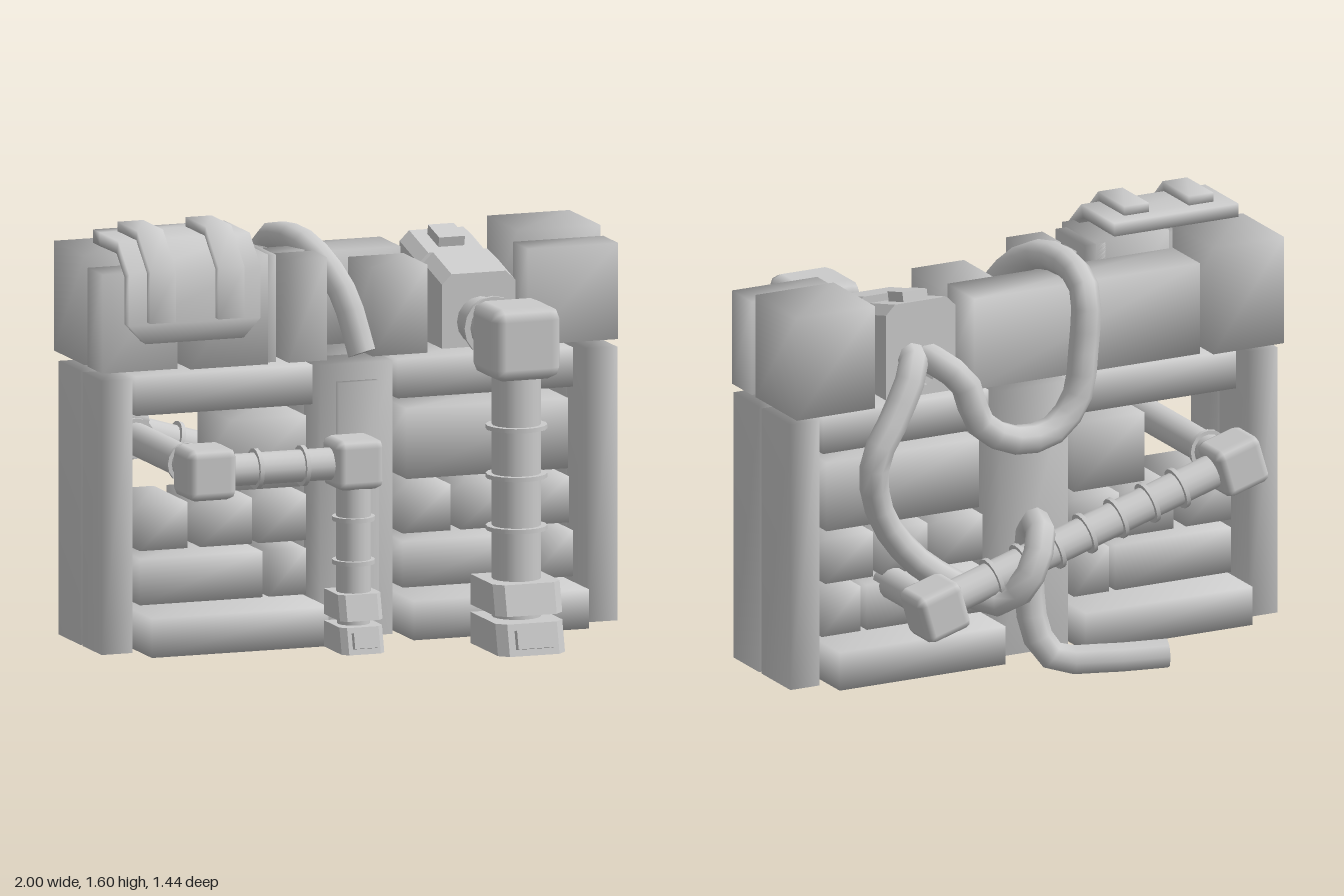
import * as THREE from 'three';
import { RoundedBoxGeometry } from 'three/addons/geometries/RoundedBoxGeometry.js';
import { mergeVertices } from 'three/addons/utils/BufferGeometryUtils.js';

const grey = new THREE.MeshStandardMaterial({ color: 0xcccccc });
const V = (a) => new THREE.Vector3(...a);

export function createModel() {
  const root = new THREE.Group();

  const add = (name, geometry, parent = root) => {
    const mesh = new THREE.Mesh(geometry, grey);
    mesh.name = name;
    parent.add(mesh);
    return mesh;
  };

  // soft box given by its extents; normals are shared across its edges
  const box = (name, x0, x1, y0, y1, z0, z1) => {
    let g = new THREE.BoxGeometry(x1 - x0, y1 - y0, z1 - z0);
    g.deleteAttribute('normal');
    g.deleteAttribute('uv');
    g = mergeVertices(g);
    g.computeVertexNormals();
    add(name, g).position.set((x0 + x1) / 2, (y0 + y1) / 2, (z0 + z1) / 2);
  };

  // straight pipe with thin collars at the given fractions of its length
  const pipe = (name, from, to, r, collars = []) => {
    const a = V(from), b = V(to), dir = b.clone().sub(a), len = dir.length();
    const g = new THREE.Group();
    g.name = name;
    g.position.copy(a);
    g.quaternion.setFromUnitVectors(V([0, 1, 0]), dir.normalize());
    add('pipeRun', new THREE.CylinderGeometry(r, r, len, 16), g).position.y = len / 2;
    for (const t of collars) {
      add('collar', new THREE.CylinderGeometry(r * 1.25, r * 1.25, 0.016, 16), g).position.y = len * t;
    }
    root.add(g);
  };

  // chamfered corner block joining two pipes
  const elbow = (name, x, y, z, w, tilt = 0) => {
    const m = add(name, new RoundedBoxGeometry(w, w, w, 1, w * 0.17));
    m.position.set(x, y, z);
    m.rotation.z = tilt;
  };

  // two stacked blocks with cut front corners, leaning back at the front, open socket at the end
  const foot = (name, pos, w, back, front, h, r, plateWidth) => {
    const g = new THREE.Group();
    g.name = name;
    g.position.set(...pos);
    const cut = w * 0.13;
    const block = (y0, y1, f, hole) => {
      const s = new THREE.Shape([[-w / 2, -back], [w / 2, -back], [w / 2, f - cut], [w / 2 - cut, f],
        [cut - w / 2, f], [-w / 2, f - cut]].map(([x, z]) => new THREE.Vector2(x, -z)).reverse());
      if (hole) s.holes.push(new THREE.Path().absarc(0, 0, r * 0.75, 0, Math.PI * 2, true));
      const geo = new THREE.ExtrudeGeometry(s, { depth: y1 - y0, bevelEnabled: false, curveSegments: 8 });
      geo.rotateX(-Math.PI / 2).translate(0, y0, 0);
      const p = geo.attributes.position;
      for (let i = 0; i < p.count; i++) {
        if (p.getZ(i) > f - cut - 0.001) p.setZ(i, p.getZ(i) - 0.25 * (p.getY(i) - y0));
      }
      geo.computeVertexNormals();
      add(hole ? 'soleBlock' : 'ankleBlock', geo, g);
    };
    block(0, h * 0.45, front, true);
    block(h * 0.56, h, front * 0.85, false);
    add('neck', new THREE.CylinderGeometry(r, r, h * 0.15, 16), g).position.y = h * 0.5;
    const plate = add('frontPlate', new THREE.BoxGeometry(plateWidth, h * 0.27, 0.04), g);
    plate.position.set(0, h * 0.23, front - 0.008);
    plate.rotation.x = -0.24;
    root.add(g);
    return g;
  };

  const hose = (name, points) => {
    const curve = new THREE.CatmullRomCurve3(points.map(V), false, 'centripetal');
    const r = 0.055;
    add(name, new THREE.TubeGeometry(curve, points.length * 2, r, 8));
    for (const t of [0, 1]) {
      const cap = add(name + 'Cap', new THREE.CircleGeometry(r, 8));
      const out = curve.getTangent(t).multiplyScalar(t ? 1 : -1);
      cap.position.copy(curve.getPoint(t));
      cap.quaternion.setFromUnitVectors(V([0, 0, 1]), out);
    }
  };

  // rack frame: front and back posts at both ends and in the middle
  for (const [x0, x1, zFront] of [[-1, -0.88, 0.145], [-0.14, 0.14, 0.115], [0.88, 1, 0.145]]) {
    box('frontPost', x0, x1, 0.045, 1.055, -0.055, zFront);
    box('backPost', x0, x1, 0.045, 1.055, -0.3, -0.075);
  }
  box('middlePostPanel', -0.08, 0.075, 0.11, 0.99, 0.1, 0.145);
  for (const [x0, x1] of [[-0.85, -0.165], [0.165, 0.845]]) {
    box('bottomShelf', x0, x1, 0.045, 0.19, -0.39, 0.265);
    box('topRail', x0, x1, 0.91, 1.055, -0.26, 0.1);
  }

  // cargo rows between the posts: [y0, y1, [x0, x1], ...]
  const rows = [
    [0.21, 0.38, [-0.835, -0.36], [-0.335, -0.19], [0.185, 0.66], [0.685, 0.845]],
    [0.41, 0.58, [-0.835, -0.65], [-0.6, -0.4], [-0.375, -0.19], [0.185, 0.37], [0.41, 0.6], [0.635, 0.83]],
    [0.61, 0.87, [-0.48, -0.19], [0.2, 0.825]],
  ];
  for (const [y0, y1, ...spans] of rows) {
    for (const [x0, x1] of spans) box('cargoBox', x0, x1, y0, y1, -0.25, 0.1);
  }

  // cargo on top: x0, x1, top, z0, z1
  for (const [x0, x1, y1, z0, z1] of [
    [-1, -0.71, 1.49, -0.35, -0.03], [-1, -0.71, 1.45, 0, 0.155],
    [-0.67, -0.37, 1.49, -0.08, 0.185], [-0.67, 0.255, 1.43, -0.32, -0.11],
    [-0.41, -0.325, 1.48, -0.08, 0.15],
    [-0.29, -0.14, 1.465, -0.08, 0.01], [-0.29, -0.14, 1.465, 0.04, 0.185],
    [0.04, 0.255, 1.41, -0.08, 0.17],
    [0.68, 1, 1.475, -0.35, -0.03], [0.65, 1, 1.44, 0, 0.155],
  ]) box('topCargo', x0, x1, 1.085, y1, z0, z1);

  // draped sheet: stations of [y, z, half width], thickened inward
  const drape = (name, xc, stations, thick) => {
    const pos = [], idx = [], n = stations.length;
    stations.forEach(([y, z, hw], i) => {
      const a = stations[Math.max(i - 1, 0)], b = stations[Math.min(i + 1, n - 1)];
      const ty = b[0] - a[0], tz = b[1] - a[1], l = Math.hypot(ty, tz);
      const iy = (tz / l) * thick, iz = (-ty / l) * thick;
      pos.push(xc - hw, y, z, xc + hw, y, z, xc + hw, y + iy, z + iz, xc - hw, y + iy, z + iz);
    });
    for (let i = 0; i < n - 1; i++) {
      for (let k = 0; k < 4; k++) {
        const a = i * 4 + k, b = i * 4 + ((k + 1) % 4);
        idx.push(a, b, b + 4, a, b + 4, a + 4);
      }
    }
    const e = (n - 1) * 4;
    idx.push(0, 2, 1, 0, 3, 2, e, e + 1, e + 2, e, e + 2, e + 3);
    const g = new THREE.BufferGeometry();
    g.setAttribute('position', new THREE.Float32BufferAttribute(pos, 3));
    g.setIndex(idx);
    g.computeVertexNormals();
    add(name, g);
  };
  drape('bedroll', -0.675, [[1.2, 0.24, 0.19], [1.27, 0.243, 0.255], [1.46, 0.243, 0.255],
    [1.565, 0.13, 0.255], [1.565, -0.06, 0.255], [1.565, -0.13, 0.255]], 0.05);
  for (const x of [-0.81, -0.545]) {
    drape('bedrollStrap', x, [[1.28, 0.275, 0.05], [1.47, 0.275, 0.05], [1.6, 0.14, 0.05], [1.6, -0.065, 0.05]], 0.04);
  }

  // large pipe: foot on the floor, corner block, flange on top of the rack
  foot('largeFoot', [0.47, 0.045, 0.515], 0.26, 0.13, 0.19, 0.255, 0.09, 0.14);
  pipe('largeUpright', [0.47, 0.28, 0.515], [0.47, 1.08, 0.515], 0.09, [0.26, 0.5, 0.725]);
  elbow('largeElbow', 0.47, 1.178, 0.515, 0.267);
  pipe('largeCrossPipe', [0.47, 1.185, 0.4], [0.47, 1.185, 0.1], 0.09, [0.43]);
  foot('topFlange', [0.465, 1.19, -0.3], 0.285, 0.1, 0.26, 0.44, 0.09, 0.1).rotation.set(Math.PI / 2, Math.PI, 0);

  // small pipe: runs from the front foot through the rack and along the back
  foot('smallFoot', [-0.1, 0.045, 0.35], 0.165, 0.085, 0.12, 0.215, 0.06, 0.09);
  pipe('smallUpright', [-0.1, 0.24, 0.35], [-0.1, 0.66, 0.35], 0.063, [0.31, 0.69]);
  elbow('smallElbow', -0.1, 0.735, 0.345, 0.185);
  pipe('frontCrossPipe', [-0.17, 0.735, 0.35], [-0.6, 0.735, 0.35], 0.06, [0.3, 0.72]);
  elbow('frontLeftElbow', -0.675, 0.735, 0.345, 0.19);
  pipe('throughPipe', [-0.675, 0.735, 0.28], [-0.675, 0.735, -0.5], 0.06, [0.16, 0.84]);
  elbow('backUpperElbow', -0.68, 0.74, -0.562, 0.187, -0.29);
  pipe('backPipe', [-0.62, 0.725, -0.562], [0.5, 0.385, -0.562], 0.063, [0.15, 0.26, 0.375, 0.49, 0.605, 0.72, 0.83]);
  elbow('backLowerElbow', 0.545, 0.364, -0.562, 0.187, -0.29);
  pipe('backStubPipe', [0.55, 0.37, -0.5], [0.55, 0.37, -0.2], 0.06);

  // hose arching over the rack and hanging in a loop behind it
  hose('loopHose', [[0, 1.1, 0.17], [-0.05, 1.32, 0.1], [-0.125, 1.46, -0.03], [-0.17, 1.48, -0.2],
    [-0.17, 1.42, -0.37], [-0.15, 1.2, -0.4], [-0.12, 1.02, -0.4], [-0.02, 0.91, -0.4], [0.14, 0.9, -0.4],
    [0.27, 0.98, -0.39], [0.33, 1.14, -0.38], [0.42, 1.22, -0.34], [0.44, 1.23, -0.25]]);
  // hose hanging behind, wound once round the back pipe, trailing on the floor
  hose('trailingHose', [[0.49, 1.25, -0.25], [0.52, 1.22, -0.35], [0.62, 1.06, -0.4], [0.71, 0.9, -0.41],
    [0.68, 0.7, -0.39], [0.56, 0.52, -0.41], [0.4, 0.4, -0.47], [0.28, 0.36, -0.6], [0.2, 0.48, -0.665],
    [0.13, 0.6, -0.6], [0.1, 0.6, -0.48], [0.08, 0.4, -0.41], [0.06, 0.16, -0.43], [0, 0.07, -0.46],
    [-0.18, 0.055, -0.52], [-0.4, 0.058, -0.58]]);

  return root;
}
